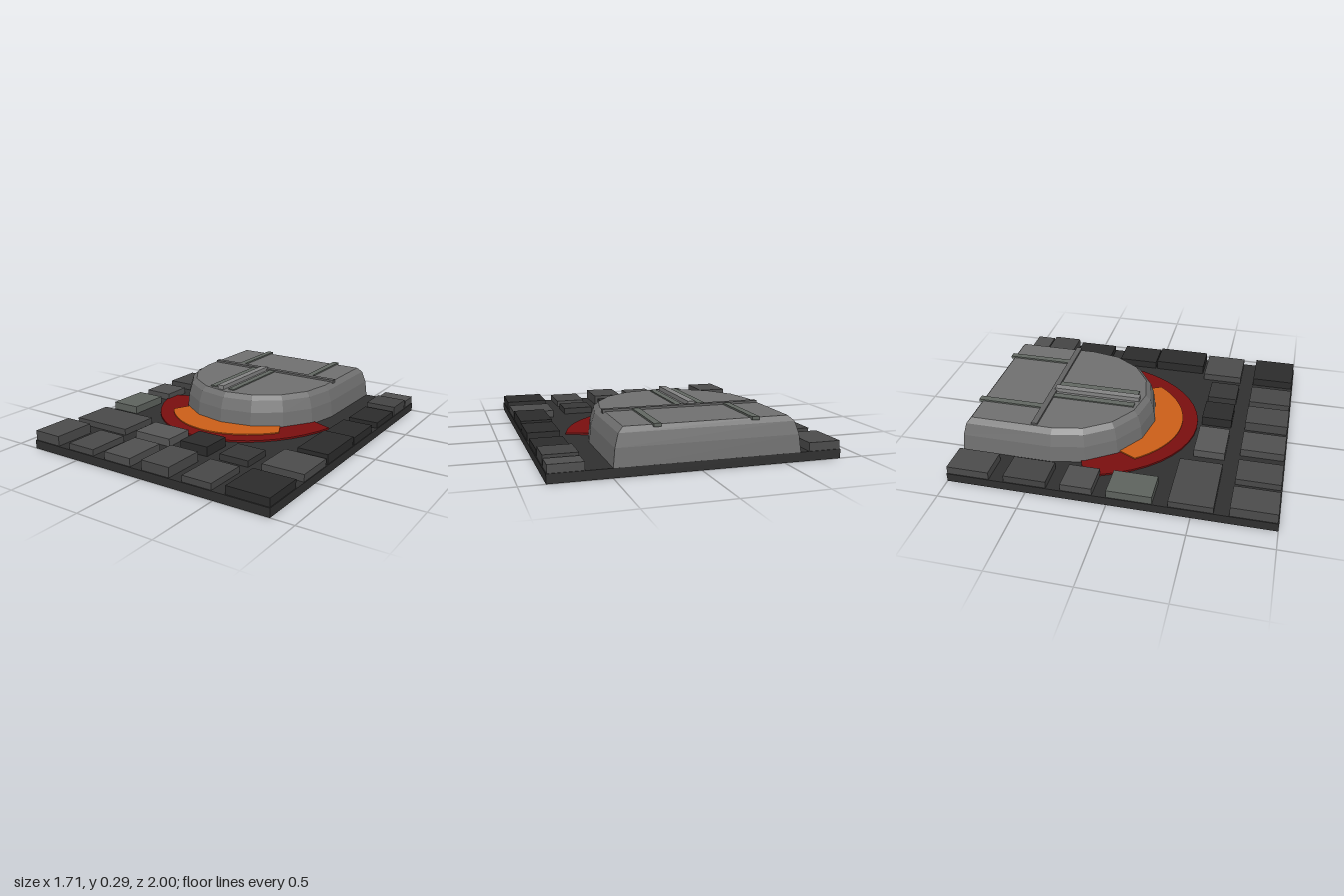
import * as THREE from 'three';

const CX = -0.05, CZ = -0.42; // centre of the rounded hall

const mat = (color, extra = {}) => new THREE.MeshStandardMaterial({ color, flatShading: true, ...extra });

function box(name, x0, x1, y0, y1, z0, z1, material) {
  const mesh = new THREE.Mesh(new THREE.BoxGeometry(x1 - x0, y1 - y0, z1 - z0), material);
  mesh.position.set((x0 + x1) / 2, (y0 + y1) / 2, (z0 + z1) / 2);
  mesh.name = name;
  return mesh;
}

// Outline of the hall: square at the back, half round at the front
function hallRing(y, inset) {
  const r = 0.55 - inset, back = -1 + inset * 0.75;
  const ring = [new THREE.Vector3(CX - r, y, back)];
  for (let i = 0; i <= 8; i++) {
    const a = Math.PI * (1 - i / 8);
    ring.push(new THREE.Vector3(CX + r * Math.cos(a), y, CZ + r * Math.sin(a)));
  }
  ring.push(new THREE.Vector3(CX + r, y, back));
  return ring;
}

function hallGeometry() {
  const levels = [[0.05, 0], [0.16, 0.012], [0.235, 0.035], [0.265, 0.067]];
  const rings = levels.map(([y, inset]) => hallRing(y, inset));
  const n = rings[0].length, pts = [];
  for (let k = 0; k < rings.length - 1; k++) {
    for (let i = 0; i < n; i++) {
      const j = (i + 1) % n;
      const a = rings[k][i], b = rings[k][j], c = rings[k + 1][j], d = rings[k + 1][i];
      pts.push(a, b, c, a, c, d);
    }
  }
  const top = rings[rings.length - 1], bottom = rings[0];
  for (let i = 1; i < n - 1; i++) {
    pts.push(top[0], top[i], top[i + 1]);
    pts.push(bottom[0], bottom[i + 1], bottom[i]);
  }
  const geo = new THREE.BufferGeometry().setFromPoints(pts);
  geo.computeVertexNormals();
  return geo;
}

// Flat crescent band between two elliptical arcs in front of the hall
function crescent(name, outer, inner, start, innerStart, top, color) {
  const pts = [], steps = 20;
  const arc = ([a, b], from, to) => {
    for (let i = 0; i <= steps; i++) {
      const t = from + (to - from) * i / steps;
      pts.push(new THREE.Vector2(CX + a * Math.cos(t), CZ + b * Math.sin(t)));
    }
  };
  arc(outer, start, Math.PI - start);
  arc(inner, Math.PI - innerStart, innerStart);
  const geo = new THREE.ExtrudeGeometry(new THREE.Shape(pts), { depth: top - 0.05, bevelEnabled: false });
  geo.rotateX(Math.PI / 2);
  const mesh = new THREE.Mesh(geo, mat(color));
  mesh.position.y = top;
  mesh.name = name;
  return mesh;
}

export function createModel() {
  const model = new THREE.Group();
  model.add(box('basePlate', -0.855, 0.855, 0, 0.055, -1, 1, mat(0x303030)));

  // Crescents around the hall front
  model.add(crescent('outerCrescent', [0.675, 0.83], [0.52, 0.53], 0.293, 0.34, 0.066, 0x7a0f0f));
  model.add(crescent('innerCrescent', [0.59, 0.73], [0.52, 0.53], 0.768, 0.8, 0.073, 0xcc5f18));

  // Rounded hall
  const hall = new THREE.Mesh(hallGeometry(), mat(0x707070));
  hall.name = 'hall';
  model.add(hall);

  // Roof ribs: x0, x1, top, z0, z1
  const ribs = new THREE.Group();
  ribs.name = 'roofRibs';
  const ribMat = mat(0x626862), crossMat = mat(0x626262), spineMat = mat(0x858585);
  [
    ['backRib', -0.345, -0.303, 0.275, -0.975, -0.54, ribMat],
    ['backRib', 0.227, 0.269, 0.275, -0.975, -0.54, ribMat],
    ['crossRib', -0.527, 0.447, 0.278, -0.556, -0.519, crossMat],
    ['frontRib', -0.204, -0.161, 0.273, -0.53, 0.016, ribMat],
    ['frontRib', -0.06, -0.018, 0.273, -0.53, 0.016, ribMat],
    ['spineRib', -0.133, -0.087, 0.292, -0.53, 0.037, spineMat],
  ].forEach(([name, x0, x1, top, z0, z1, m]) => ribs.add(box(name, x0, x1, 0.255, top, z0, z1, m)));
  model.add(ribs);

  // Surrounding blocks: x0, x1, z0, z1, top, shade
  const blocks = new THREE.Group();
  blocks.name = 'blocks';
  [
    // left-hand column
    [-0.85, -0.655, -0.995, -0.73, 0.105, 0x4c4c4c],
    [-0.85, -0.655, -0.635, -0.37, 0.1, 0x444444],
    [-0.85, -0.655, -0.28, -0.087, 0.1, 0x505050],
    [-0.85, -0.655, 0, 0.273, 0.105, 0x5e635e],
    // middle row
    [-0.85, -0.44, 0.365, 0.63, 0.095, 0x4a4a4a],
    [-0.35, -0.083, 0.435, 0.63, 0.105, 0x585858],
    [0.003, 0.2, 0.435, 0.63, 0.116, 0x2c2c2c],
    [0.29, 0.487, 0.435, 0.63, 0.095, 0x383838],
    [0.577, 0.85, 0.365, 0.63, 0.1, 0x4c4c4c],
    // front row
    [-0.85, -0.655, 0.72, 0.993, 0.118, 0x4c4c4c],
    [-0.565, -0.37, 0.72, 0.993, 0.095, 0x4a4a4a],
    [-0.28, -0.083, 0.72, 0.993, 0.105, 0x505050],
    [0.003, 0.2, 0.72, 0.993, 0.118, 0x4a4a4a],
    [0.29, 0.487, 0.72, 0.993, 0.095, 0x484848],
    [0.577, 0.85, 0.72, 0.993, 0.107, 0x2c2c2c],
    // right-hand column
    [0.65, 0.85, -0.995, -0.87, 0.103, 0x505050],
    [0.65, 0.85, -0.853, -0.66, 0.117, 0x444444],
    [0.65, 0.85, -0.635, -0.37, 0.093, 0x2c2c2c],
    [0.65, 0.85, -0.28, -0.01, 0.105, 0x2c2c2c],
    [0.65, 0.85, 0, 0.345, 0.117, 0x2c2c2c],
  ].forEach(([x0, x1, z0, z1, top, shade]) => blocks.add(box('block', x0, x1, 0.045, top, z0, z1, mat(shade))));
  model.add(blocks);
  return model;
}
